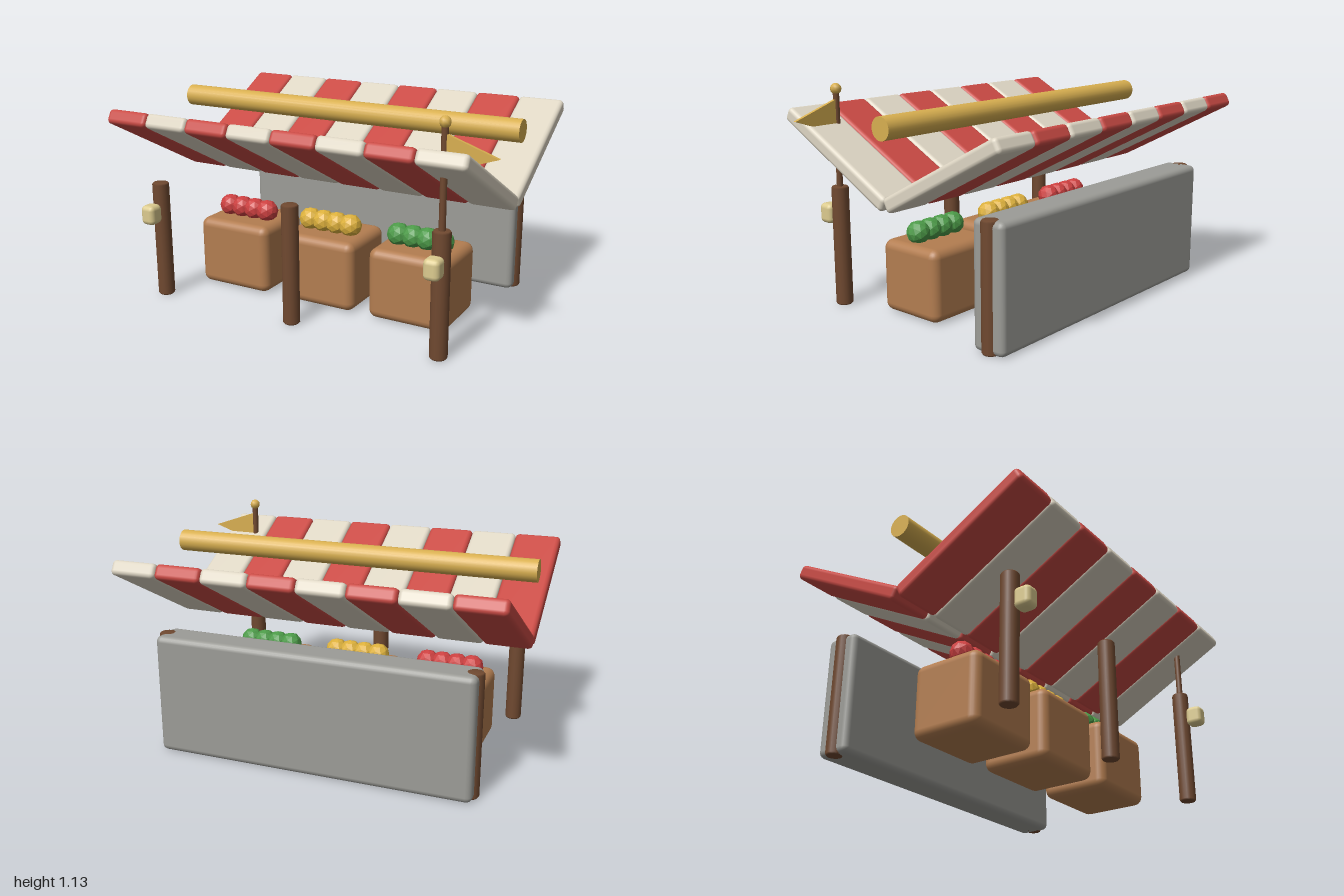
import * as THREE from 'three';
import { RoundedBoxGeometry } from 'three/addons/geometries/RoundedBoxGeometry.js';

const paint = (name, color, extra = {}) => {
  const m = new THREE.MeshStandardMaterial({ color, ...extra });
  m.name = name;
  return m;
};

export function createModel() {
  const group = new THREE.Group();
  group.name = 'marketStall';

  const red = paint('awningRed', 0xc94a44);
  const cream = paint('awningCream', 0xddd5c3);
  const gold = paint('gold', 0xd8af50);
  const wood = paint('darkWood', 0x704930);
  const crateWood = paint('crateWood', 0xb37d50);
  const stone = paint('stone', 0x9c9c97);
  const lanternGlow = paint('lanternGlow', 0xdccb8f);
  const redFruit = paint('redFruit', 0xcc4040, { flatShading: true });
  const yellowFruit = paint('yellowFruit', 0xdcb03c, { flatShading: true });
  const greenFruit = paint('greenFruit', 0x4c9a48, { flatShading: true });

  const add = (name, geometry, material, x, y, z) => {
    const mesh = new THREE.Mesh(geometry, material);
    mesh.name = name;
    mesh.position.set(x, y, z);
    group.add(mesh);
    return mesh;
  };

  const midX = -0.04, frontZ = 0.515, backZ = -0.49;

  // Striped awning: two slopes meeting in a valley
  const pitch = 0.2406, tilt = 0.49;
  const stripe = new RoundedBoxGeometry(0.24, 0.076, 0.77, 2, 0.022);
  for (let i = 0; i < 8; i++) {
    for (const side of [1, -1]) {
      const panel = add('awningStripe', stripe, i % 2 ? cream : red,
        -1 + pitch * (i + 0.5), 0.803, 0.345 * side);
      panel.rotation.x = -tilt * side;
    }
  }

  // Ridge pole floating above the valley
  const ridge = add('ridgePole', new THREE.CylinderGeometry(0.056, 0.056, 1.925, 24), gold, -0.0375, 0.977, 0);
  ridge.rotation.z = Math.PI / 2;

  // Posts with slightly softened ends
  const postGeo = new THREE.LatheGeometry([
    [0, 0], [0.037, 0], [0.043, 0.008], [0.043, 0.607], [0.037, 0.615], [0, 0.615],
  ].map(([r, y]) => new THREE.Vector2(r, y)), 16);
  for (const dx of [-0.79, 0, 0.79]) add('frontPost', postGeo, wood, midX + dx, 0, frontZ);
  for (const dx of [-0.79, 0.79]) add('backPost', postGeo, wood, midX + dx, 0, backZ);

  // Back wall
  add('backWall', new RoundedBoxGeometry(1.63, 0.615, 0.18, 2, 0.03), stone, midX, 0.3075, backZ);

  // Crates, each with a row of fruit
  const crateGeo = new RoundedBoxGeometry(0.427, 0.368, 0.37, 3, 0.045);
  const fruitGeo = new THREE.IcosahedronGeometry(0.06, 1);
  [redFruit, yellowFruit, greenFruit].forEach((fruit, i) => {
    const x = midX + (i - 1) * 0.513;
    add('crate', crateGeo, crateWood, x, 0.185, 0.105);
    for (let k = 0; k < 4; k++) add('fruit', fruitGeo, fruit, x + (k - 1.5) * 0.079, 0.412, 0.125);
  });

  // Lanterns on the outer front posts
  const lanternGeo = new RoundedBoxGeometry(0.08, 0.102, 0.085, 2, 0.025);
  for (const dx of [-0.79, 0.79]) add('lantern', lanternGeo, lanternGlow, midX + dx, 0.465, 0.598);

  // Flagpole, finial and pennant
  const poleX = midX + 0.79;
  add('flagpole', new THREE.CylinderGeometry(0.016, 0.016, 0.5, 10), wood, poleX, 0.84, frontZ);
  add('finial', new THREE.SphereGeometry(0.028, 8, 6), gold, poleX, 1.1, frontZ);
  const pennant = new THREE.Shape([[0, 0.88], [0.25, 0.966], [0, 1.052]].map(([x, y]) => new THREE.Vector2(x, y)));
  add('pennant', new THREE.ExtrudeGeometry(pennant, { depth: 0.018, bevelEnabled: false }),
    gold, poleX, 0, frontZ - 0.009);

  return group;
}
